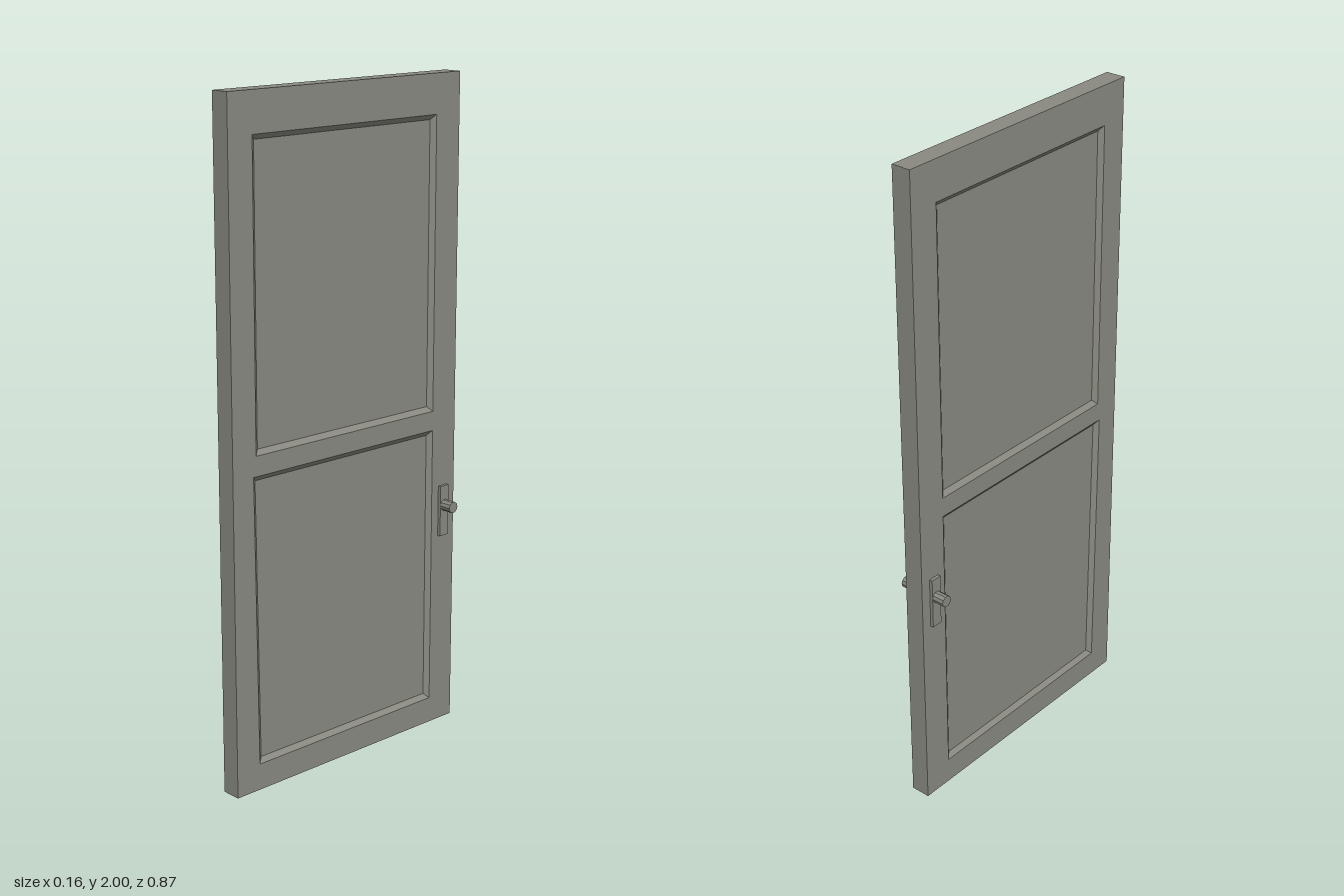
import * as THREE from 'three';

const HALF_W = 0.436, HALF_T = 0.03, HEIGHT = 2;
const BEVEL = 0.015, DEPTH = 0.012;

// Panel openings as corners [z, y], counter-clockwise from lower back
const PANELS = [
  { name: 'upperPanel', corners: [[-0.342, 1.003], [0.352, 1.003], [0.352, 1.883], [-0.342, 1.883]] },
  { name: 'lowerPanel', corners: [[-0.342, 0.08], [0.352, 0.08], [0.362, 0.944], [-0.342, 0.944]] },
];

const toPath = (corners, Type) => new Type(corners.map(([z, y]) => new THREE.Vector2(-z, y)));

// Extrudes an outline in the door plane, centred on x = 0
function slab(shape, thickness) {
  return new THREE.ExtrudeGeometry(shape, { depth: thickness, bevelEnabled: false })
    .translate(0, 0, -thickness / 2).rotateY(Math.PI / 2);
}

// Four sloping strips leading from the frame face down to the panel
function moulding(corners) {
  const outer = corners.map(([z, y]) => [HALF_T, y, z]);
  const inner = corners.map(([z, y], i) => [
    HALF_T - DEPTH,
    y + (i < 2 ? BEVEL : -BEVEL),
    z + (i === 0 || i === 3 ? BEVEL : -BEVEL),
  ]);
  const pos = [];
  for (let i = 0; i < 4; i++) {
    const j = (i + 1) % 4;
    pos.push(...outer[i], ...inner[j], ...outer[j], ...outer[i], ...inner[i], ...inner[j]);
  }
  const g = new THREE.BufferGeometry();
  g.setAttribute('position', new THREE.Float32BufferAttribute(pos, 3));
  g.computeVertexNormals();
  return g;
}

export function createModel() {
  const group = new THREE.Group();
  const grey = new THREE.MeshStandardMaterial({ color: 0x8a8a82, side: THREE.DoubleSide });
  grey.name = 'warmGrey';

  const add = (parent, name, geometry) => {
    const mesh = new THREE.Mesh(geometry, grey);
    mesh.name = name;
    parent.add(mesh);
    return mesh;
  };

  // Door frame with two openings
  const outline = toPath([[-HALF_W, 0], [HALF_W, 0], [HALF_W, HEIGHT], [-HALF_W, HEIGHT]], THREE.Shape);
  PANELS.forEach((p) => outline.holes.push(toPath(p.corners, THREE.Path)));
  add(group, 'doorFrame', slab(outline, HALF_T * 2));

  // Recessed panels filling the openings
  PANELS.forEach((p) => add(group, p.name, slab(toPath(p.corners, THREE.Shape), 2 * (HALF_T - DEPTH))));

  // Mouldings, backplate and knob on each face
  for (const side of [1, -1]) {
    const face = new THREE.Group();
    face.name = side > 0 ? 'leftFace' : 'rightFace';
    for (const p of PANELS) {
      const g = moulding(p.corners);
      if (side < 0) {
        // Mirror across x and reverse the winding
        g.scale(-1, 1, 1);
        const a = g.attributes.position;
        for (let i = 0; i < a.count; i += 3) {
          const b = [a.getX(i), a.getY(i), a.getZ(i)];
          a.setXYZ(i, a.getX(i + 1), a.getY(i + 1), a.getZ(i + 1));
          a.setXYZ(i + 1, ...b);
        }
        g.computeVertexNormals();
      }
      add(face, p.name + 'Moulding', g);
    }
    const plate = add(face, 'handlePlate', new THREE.BoxGeometry(0.012, 0.158, 0.034));
    plate.position.set(side * 0.034, 0.685, -0.387);
    const knob = add(face, 'handleKnob',
      new THREE.CylinderGeometry(0.0175, 0.0175, 0.04, 10).toNonIndexed().rotateZ(Math.PI / 2));
    knob.geometry.computeVertexNormals();
    knob.position.set(side * 0.058, 0.703, -0.387);
    group.add(face);
  }
  return group;
}
